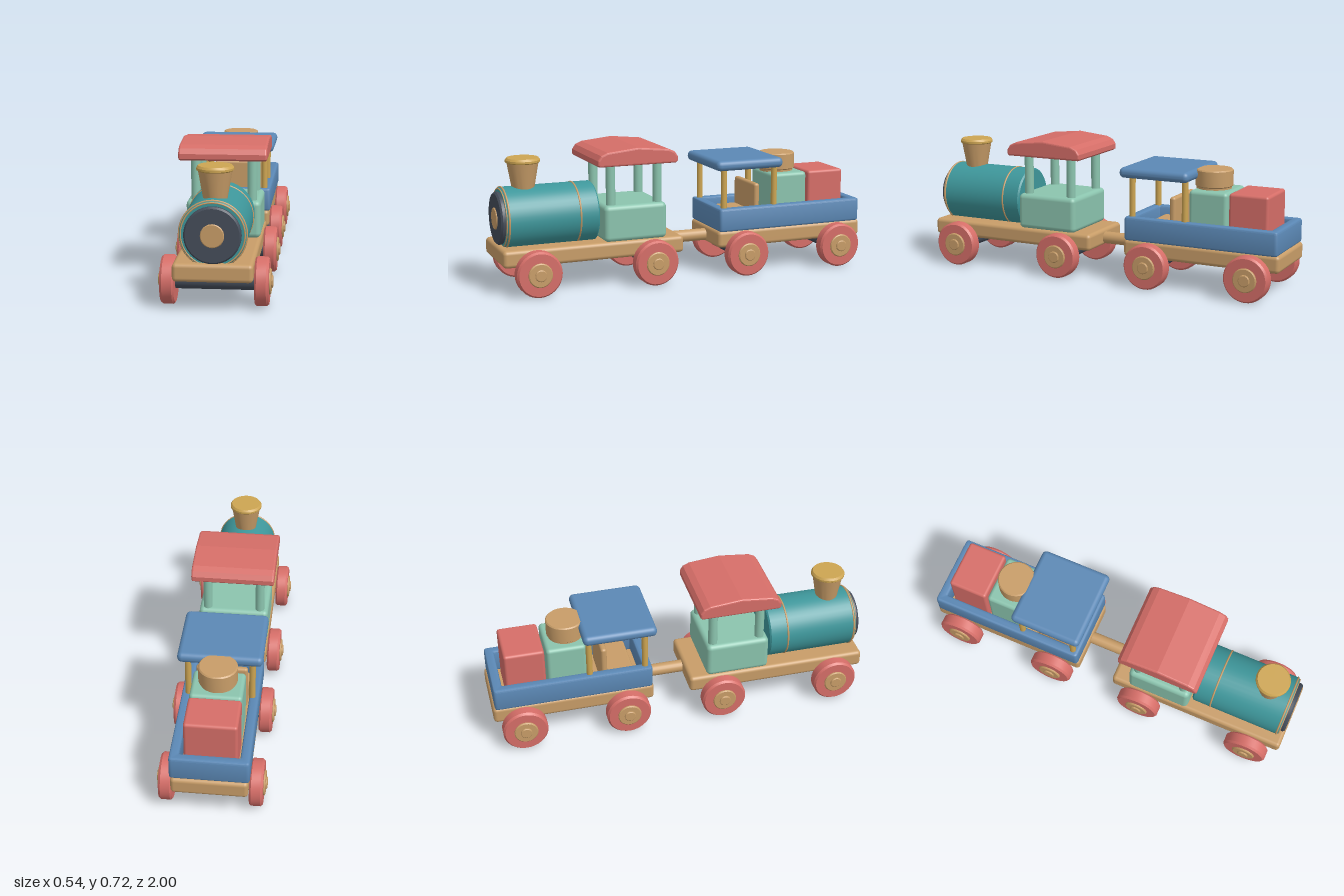
import * as THREE from 'three';
import { RoundedBoxGeometry } from 'three/addons/geometries/RoundedBoxGeometry.js';
import { toCreasedNormals } from 'three/addons/utils/BufferGeometryUtils.js';

const mat = (name, color) => {
  const m = new THREE.MeshStandardMaterial({ color });
  m.name = name;
  return m;
};

export function createModel() {
  const tan = mat('natural wood', 0xc89d68);
  const red = mat('red paint', 0xd66e68);
  const teal = mat('teal paint', 0x3e979b);
  const mint = mat('mint paint', 0x8bc4ae);
  const blue = mat('blue paint', 0x5b88b5);
  const gold = mat('gold paint', 0xcda552);
  const dark = mat('charcoal paint', 0x454d5a);

  const train = new THREE.Group();
  train.name = 'toyTrain';
  const group = (name) => {
    const g = new THREE.Group();
    g.name = name;
    train.add(g);
    return g;
  };
  const add = (parent, name, geometry, material, x = 0, y = 0, z = 0) => {
    const m = new THREE.Mesh(geometry, material);
    m.name = name;
    m.position.set(x, y, z);
    parent.add(m);
    return m;
  };
  // Rounded block given by half width, height range and depth range
  const block = (parent, name, material, hw, y0, y1, z0, z1, r = 0.02) =>
    add(parent, name, new RoundedBoxGeometry(hw * 2, y1 - y0, z1 - z0, 3, r), material,
      0, (y0 + y1) / 2, (z0 + z1) / 2);
  // Turned solid from [radius, height] points, with sharp profile corners
  const turned = (points, segments = 32) => toCreasedNormals(
    new THREE.LatheGeometry(points.map(([r, y]) => new THREE.Vector2(r, y)), segments), 0.6);
  const alongZ = (geometry) => geometry.rotateX(Math.PI / 2);
  const posts = (parent, name, material, r, x, y0, y1, zs) => {
    for (const z of zs) for (const s of [-1, 1]) {
      add(parent, name, new THREE.CylinderGeometry(r, r, y1 - y0, 20), material, s * x, (y0 + y1) / 2, z);
    }
  };

  // Wheels with stepped hubs, joined by an axle
  const wheelGeometry = turned([[0, 0.188], [0.108, 0.188], [0.117, 0.197], [0.117, 0.243],
    [0.108, 0.254], [0, 0.254]], 36).rotateZ(-Math.PI / 2);
  const hubGeometry = turned([[0.062, 0.25], [0.062, 0.259], [0.057, 0.263], [0.03, 0.263],
    [0.03, 0.268], [0.026, 0.271], [0, 0.271]], 24).rotateZ(-Math.PI / 2);
  const wheelSet = (parent, z) => {
    const set = new THREE.Group();
    set.name = 'wheelSet';
    set.position.set(0, 0.117, z);
    parent.add(set);
    add(set, 'axle', new THREE.CylinderGeometry(0.043, 0.043, 0.39, 24).rotateZ(Math.PI / 2), dark);
    for (const side of [0, Math.PI]) {
      add(set, 'wheel', wheelGeometry, red).rotation.y = side;
      add(set, 'hub', hubGeometry, tan).rotation.y = side;
    }
  };

  // ---- Engine ----
  const engine = group('engine');
  block(engine, 'engineBase', tan, 0.188, 0.147, 0.235, 0.04, 1.0);
  wheelSet(engine, 0.833);
  wheelSet(engine, 0.212);

  // Boiler, its bands, and the round front plate
  const by = 0.367;
  add(engine, 'boiler', alongZ(turned([[0, 0.485], [0.15, 0.485], [0.158, 0.493], [0.158, 0.957],
    [0.15, 0.968], [0, 0.968]], 40)), teal, 0, by, 0);
  for (const z of [0.955, 0.586]) {
    add(engine, 'boilerBand', new THREE.TorusGeometry(0.157, 0.005, 8, 40), tan, 0, by, z);
  }
  add(engine, 'frontRim', new THREE.TorusGeometry(0.149, 0.004, 8, 40), tan, 0, by, 0.966);
  add(engine, 'frontPlate', alongZ(turned([[0.134, 0.96], [0.134, 0.983], [0.126, 0.992], [0, 0.992]], 36)),
    dark, 0, by, 0);
  add(engine, 'frontButton', alongZ(turned([[0.056, 0.985], [0.056, 0.994], [0.052, 0.998], [0, 0.998]], 32)),
    tan, 0, by, 0);

  // Chimney with a gold cap
  add(engine, 'chimney', turned([[0, 0.49], [0.053, 0.49], [0.081, 0.648], [0, 0.648]]), tan, 0, 0, 0.842);
  add(engine, 'chimneyCap', turned([[0, 0.643], [0.082, 0.643], [0.088, 0.648], [0.088, 0.658],
    [0.08, 0.669], [0, 0.669]]), gold, 0, 0, 0.842);

  // Cab with four posts and an arched roof
  block(engine, 'cab', mint, 0.185, 0.232, 0.42, 0.133, 0.47, 0.025);
  posts(engine, 'cabPost', mint, 0.024, 0.14, 0.41, 0.64, [0.425, 0.172]);
  const arch = new THREE.Shape([[-0.205, 0.627], [0.205, 0.627], [0.215, 0.636], [0.215, 0.66], [0.198, 0.685],
    [0.165, 0.7], [0, 0.717], [-0.165, 0.7], [-0.198, 0.685], [-0.215, 0.66], [-0.215, 0.636]]
    .map(([z, y]) => new THREE.Vector2(z, y)));
  const roof = new THREE.ExtrudeGeometry(arch, { depth: 0.416, bevelEnabled: true, bevelSize: 0.01,
    bevelThickness: 0.01, bevelOffset: -0.01, bevelSegments: 3 });
  roof.translate(0, 0, -0.208).rotateY(Math.PI / 2);
  add(engine, 'cabRoof', toCreasedNormals(roof, 0.15), red, 0, 0, 0.3);

  // Coupling rod
  add(train, 'coupling', alongZ(new THREE.CylinderGeometry(0.032, 0.032, 0.24, 20)), tan, 0, 0.187, -0.06);

  // ---- Wagon ----
  const wagon = group('wagon');
  block(wagon, 'wagonBase', tan, 0.188, 0.147, 0.237, -1.0, -0.155);
  wheelSet(wagon, -0.303);
  wheelSet(wagon, -0.848);

  // Open tub
  const rect = (T, hw, hd, r) => {
    const p = new T();
    p.moveTo(-hw + r, -hd);
    p.lineTo(hw - r, -hd).quadraticCurveTo(hw, -hd, hw, -hd + r);
    p.lineTo(hw, hd - r).quadraticCurveTo(hw, hd, hw - r, hd);
    p.lineTo(-hw + r, hd).quadraticCurveTo(-hw, hd, -hw, hd - r);
    p.lineTo(-hw, -hd + r).quadraticCurveTo(-hw, -hd, -hw + r, -hd);
    return p;
  };
  const tubShape = rect(THREE.Shape, 0.194, 0.414, 0.018);
  tubShape.holes.push(rect(THREE.Path, 0.145, 0.365, 0.005));
  const tub = new THREE.ExtrudeGeometry(tubShape, { depth: 0.1, bevelEnabled: true, bevelSize: 0.012,
    bevelThickness: 0.012, bevelOffset: -0.012, bevelSegments: 3, curveSegments: 4 });
  tub.translate(0, 0, 0.012).rotateX(-Math.PI / 2);
  add(wagon, 'tub', toCreasedNormals(tub, 0.6), blue, 0, 0.233, -0.576);

  // Bench
  block(wagon, 'benchSeat', tan, 0.13, 0.23, 0.32, -0.4, -0.25, 0.012);
  block(wagon, 'benchBack', tan, 0.13, 0.23, 0.468, -0.42, -0.388, 0.014);

  // Canopy on four posts
  posts(wagon, 'canopyPost', gold, 0.016, 0.16, 0.345, 0.57, [-0.196, -0.488]);
  block(wagon, 'canopy', blue, 0.212, 0.56, 0.614, -0.52, -0.138, 0.025);

  // Cargo
  block(wagon, 'mintCrate', mint, 0.13, 0.23, 0.513, -0.7, -0.493, 0.02);
  block(wagon, 'redCrate', red, 0.13, 0.23, 0.515, -0.918, -0.709, 0.015);
  add(wagon, 'drum', turned([[0, 0.51], [0.09, 0.51], [0.09, 0.522], [0.097, 0.528], [0.097, 0.606],
    [0.091, 0.612], [0, 0.612]]), tan, 0, 0, -0.58);

  return train;
}
